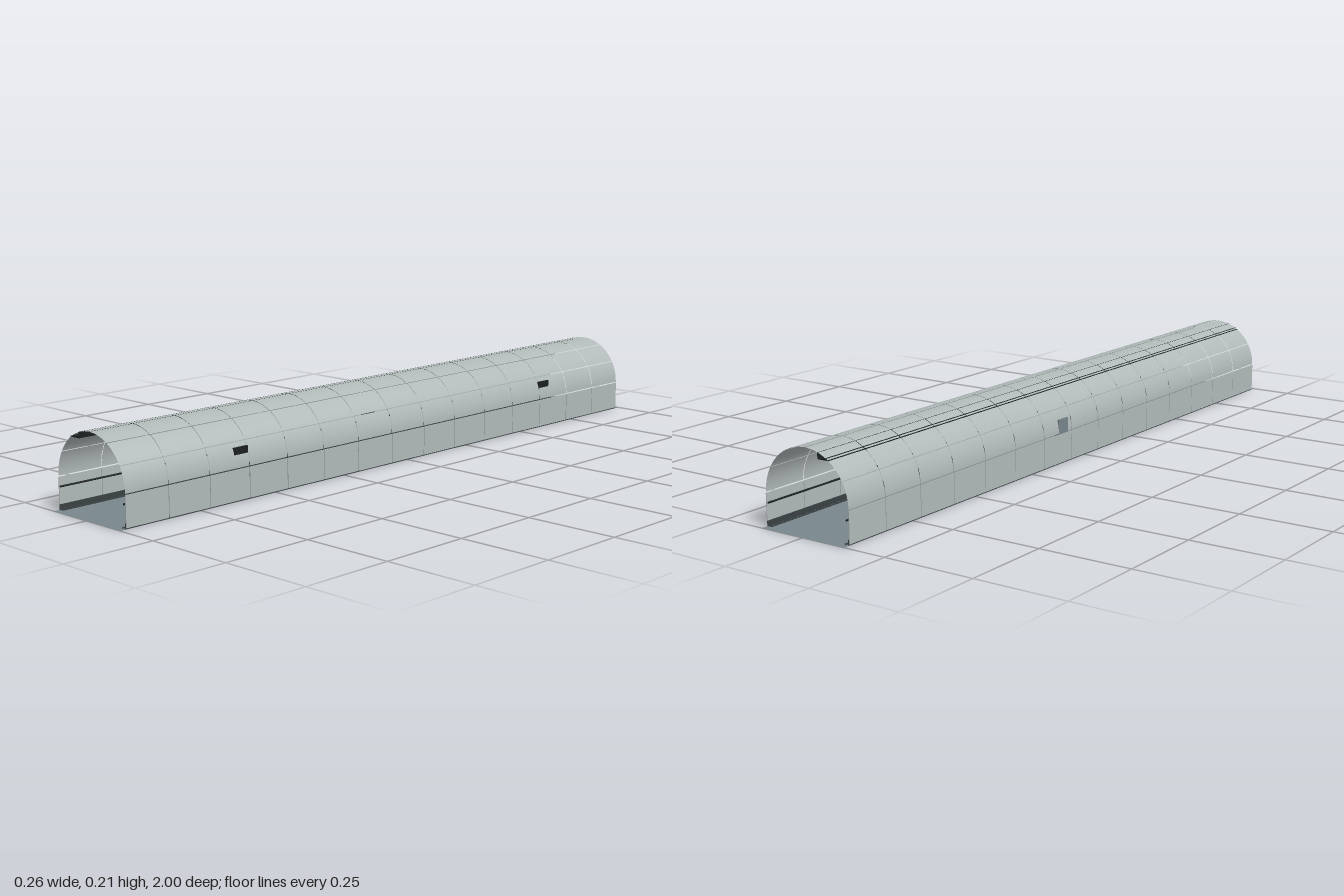
import * as THREE from 'three';

const mat = (name, color, side = THREE.FrontSide) => {
  const m = new THREE.MeshStandardMaterial({ color, side });
  m.name = name;
  return m;
};

export function createModel() {
  const tunnel = new THREE.Group();
  tunnel.name = 'tunnel';

  const shellGrey = mat('shell grey', 0xb0b8b8, THREE.DoubleSide);
  const floorGrey = mat('floor slate', 0x78868c, THREE.DoubleSide);
  const cabinetGrey = mat('cabinet grey', 0x76848a);
  const darkGrey = mat('dark metal', 0x3a4042);
  const black = mat('black', 0x1c1f20);

  const R = 0.13, SPRING = 0.085, LENGTH = 1.966, BAYS = 15, GAP = 0.002;
  const pitch = LENGTH / BAYS;

  const add = (parent, name, geo, material, x = 0, y = 0, z = 0) => {
    const mesh = new THREE.Mesh(geo, material);
    mesh.name = name;
    mesh.position.set(x, y, z);
    parent.add(mesh);
    return mesh;
  };
  const group = (name) => {
    const g = new THREE.Group();
    g.name = name;
    tunnel.add(g);
    return g;
  };
  const box = (w, h, d) => new THREE.BoxGeometry(w, h, d);
  const rod = (r, len) => new THREE.CylinderGeometry(r, r, len, 10).rotateX(Math.PI / 2);

  // Floor sheet, slightly longer than the shell
  add(tunnel, 'floor', new THREE.PlaneGeometry(0.26, 2).rotateX(-Math.PI / 2), floorGrey);

  // Vault: six curved panels across, fifteen bays long, with open joints
  const vault = group('vaultPanels');
  const walls = group('wallPanels');
  const step = Math.PI / 6, angGap = GAP / R;
  const panels = [];
  for (let i = 0; i < 6; i++) {
    panels.push(new THREE.CylinderGeometry(R, R, pitch - GAP, 8, 1, true,
      Math.PI / 2 + i * step + angGap / 2, step - angGap).rotateX(Math.PI / 2));
  }
  const wallPanel = box(0.002, 0.08, pitch - GAP);
  for (let b = 0; b < BAYS; b++) {
    const z = (b - (BAYS - 1) / 2) * pitch;
    panels.forEach((geo) => add(vault, 'vaultPanel', geo, shellGrey, 0, SPRING, z));
    for (const s of [-1, 1]) add(walls, 'wallPanel', wallPanel, shellGrey, s * R, 0.043, z);
  }

  // Skirting, floor edge strips and handrails along both walls
  for (const s of [-1, 1]) {
    const side = group(s > 0 ? 'leftWallFittings' : 'rightWallFittings');
    add(side, 'skirting', box(0.002, 0.014, LENGTH), darkGrey, s * 0.128, 0.007, 0);
    add(side, 'floorStrip', box(0.006, 0.002, LENGTH), darkGrey, s * 0.118, 0.0015, 0);
    add(side, 'handrail', rod(0.0025, LENGTH), black, s * 0.1235, 0.06, 0);
    for (let b = 0; b <= BAYS; b++) {
      const z = (b - BAYS / 2) * (pitch - 0.002);
      add(side, 'railBracket', box(0.006, 0.002, 0.004), darkGrey, s * 0.127, 0.06, z);
    }
  }

  // Cable tray hung under the vault
  const tray = group('cableTray');
  add(tray, 'trayBase', box(0.033, 0.0015, LENGTH), black, -0.0565, 0.1938, 0);
  add(tray, 'traySide', box(0.001, 0.016, LENGTH), black, -0.0402, 0.201, 0);
  for (let i = 0; i < 4; i++) {
    add(tray, 'cable', rod(0.002, LENGTH), black, -0.0455 - i * 0.006, 0.1965, 0);
  }

  // Lamps set into the left haunch
  for (const z of [0.613, -0.613]) {
    const lamp = group('lamp');
    lamp.position.set(0.1215, 0.125, z);
    add(lamp, 'lampHousing', box(0.008, 0.024, 0.046), black);
    for (let i = 0; i < 4; i++) {
      add(lamp, 'lampFin', box(0.002, 0.003, 0.044), darkGrey, -0.0045, -0.009 + i * 0.006, 0);
    }
  }

  // Wall cabinet on the right side
  const cabinet = group('cabinet');
  cabinet.position.set(-0.123, 0.0985, -0.105);
  add(cabinet, 'cabinetBody', box(0.014, 0.05, 0.044), cabinetGrey);
  add(cabinet, 'cabinetDoor', box(0.002, 0.046, 0.04), darkGrey, 0.0075, 0, 0);

  return tunnel;
}
